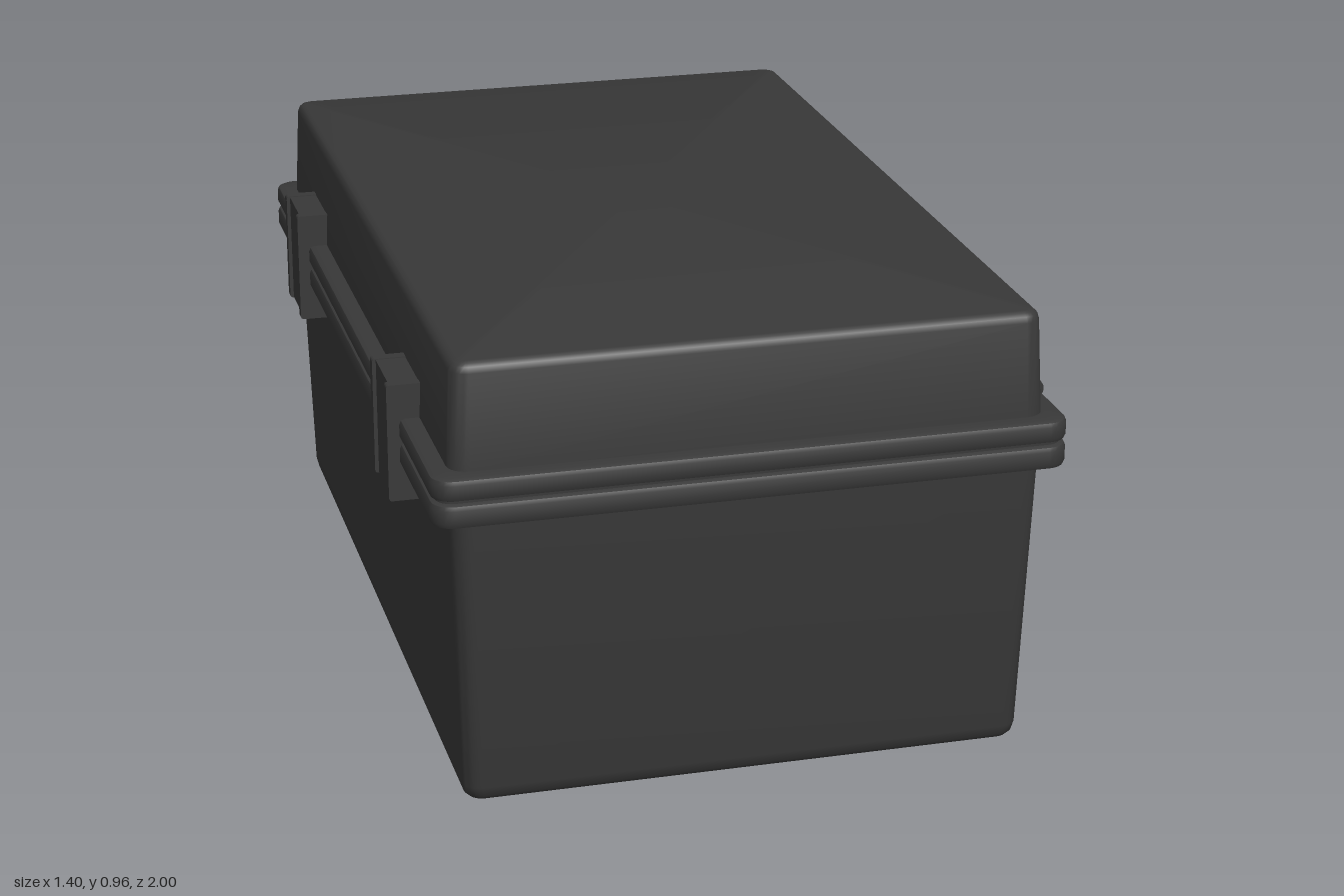
import * as THREE from 'three';
import { toCreasedNormals } from 'three/addons/utils/BufferGeometryUtils.js';

const material = new THREE.MeshStandardMaterial({ color: 0x383838 });
const CX = -0.018; // centre of the case, offset by the hinges
const CORNER_STEPS = 6;

function add(parent, name, geometry, x = 0, y = 0, z = 0) {
  const mesh = new THREE.Mesh(geometry, material);
  mesh.name = name;
  mesh.position.set(x, y, z);
  parent.add(mesh);
  return mesh;
}

function box(parent, name, x0, x1, y0, y1, z0, z1) {
  return add(parent, name, new THREE.BoxGeometry(x1 - x0, y1 - y0, z1 - z0),
    (x0 + x1) / 2, (y0 + y1) / 2, (z0 + z1) / 2);
}

// Closed loft through rounded rectangles; each section is [y, half x, half z, corner radius]
function loft(sections) {
  const positions = [], index = [];
  const n = 4 * (CORNER_STEPS + 1);
  for (const [y, hx, hz, r] of sections) {
    for (let corner = 0; corner < 4; corner++) {
      const sx = corner === 0 || corner === 3 ? 1 : -1;
      const sz = corner < 2 ? 1 : -1;
      for (let i = 0; i <= CORNER_STEPS; i++) {
        const a = (corner + i / CORNER_STEPS) * Math.PI / 2;
        positions.push(sx * (hx - r) + r * Math.cos(a), y, sz * (hz - r) + r * Math.sin(a));
      }
    }
  }
  for (let s = 0; s < sections.length - 1; s++) {
    for (let i = 0; i < n; i++) {
      const a = s * n + i, b = s * n + (i + 1) % n;
      index.push(a, a + n, b, b, a + n, b + n);
    }
  }
  // End caps
  const low = sections.length * n, high = low + 1, last = (sections.length - 1) * n;
  positions.push(0, sections[0][0], 0, 0, sections.at(-1)[0], 0);
  for (let i = 0; i < n; i++) {
    const j = (i + 1) % n;
    index.push(low, i, j, high, last + j, last + i);
  }
  const geometry = new THREE.BufferGeometry();
  geometry.setAttribute('position', new THREE.Float32BufferAttribute(positions, 3));
  geometry.setIndex(index);
  return toCreasedNormals(geometry, 0.65);
}

// Rim sections with softened edges between two heights
function rim(y0, y1) {
  const b = 0.012;
  return [[y0, 0], [y0, b], [y0 + b * 0.3, b * 0.3], [y0 + b, 0], [y1 - b, 0], [y1 - b * 0.3, b * 0.3], [y1, b]]
    .slice(1).map(([y, inset]) => [y, 0.657 - inset, 1 - inset, 0.045 - inset]);
}

// Triangular hinge rib with a rounded nose; flip points it the other way up
function ribGeometry(flip) {
  const shape = new THREE.Shape();
  shape.moveTo(0.585, -0.02);
  shape.lineTo(0.585, 0.094);
  shape.lineTo(0.603, 0.092);
  shape.lineTo(0.615, 0.084);
  shape.lineTo(0.689, 0.018);
  shape.quadraticCurveTo(0.703, 0, 0.689, -0.016);
  shape.lineTo(0.675, -0.02);
  const geometry = new THREE.ExtrudeGeometry(shape, { depth: 0.013, bevelEnabled: false, curveSegments: 6 });
  geometry.translate(0, 0, -0.0065);
  if (flip) geometry.rotateX(Math.PI);
  return geometry;
}

function createHinge(z) {
  const hinge = new THREE.Group();
  hinge.name = 'hinge';
  const pinY = 0.688;
  // Three knuckles, the middle one slightly thicker
  for (const k of [-1, 0, 1]) {
    const r = k === 0 ? 0.026 : 0.023;
    const knuckle = new THREE.CylinderGeometry(r, r, 0.085, 20).rotateX(Math.PI / 2);
    add(hinge, 'hingeKnuckle', knuckle, 0.672, pinY, k * 0.088);
    const y0 = k === 0 ? pinY - 0.022 : pinY;
    box(hinge, 'hingeLeaf', 0.62, 0.672, y0, y0 + 0.022, k * 0.088 - 0.042, k * 0.088 + 0.042);
    // Lid ribs rise at the ends, base ribs drop in the middle
    for (const i of [-1, 0, 1]) {
      add(hinge, k === 0 ? 'baseHingeRib' : 'lidHingeRib', ribGeometry(k === 0), 0, pinY, k * 0.088 + i * 0.026);
    }
  }
  const pin = new THREE.CylinderGeometry(0.01, 0.01, 0.262, 12).rotateX(Math.PI / 2);
  add(hinge, 'hingePin', pin, 0.672, pinY, 0);
  hinge.position.z = z;
  return hinge;
}

function createLatch(z) {
  const latch = new THREE.Group();
  latch.name = 'latch';
  // Side cheek with softened outer corners
  const cheek = new THREE.Shape();
  cheek.moveTo(-0.615, 0.56);
  cheek.lineTo(-0.615, 0.812);
  cheek.lineTo(-0.692, 0.812);
  cheek.quadraticCurveTo(-0.7, 0.812, -0.7, 0.804);
  cheek.lineTo(-0.7, 0.568);
  cheek.quadraticCurveTo(-0.7, 0.56, -0.692, 0.56);
  const cheekGeometry = new THREE.ExtrudeGeometry(cheek, { depth: 0.024, bevelEnabled: false, curveSegments: 4 });
  add(latch, 'latchCheek', cheekGeometry, 0, 0, -0.091);
  add(latch, 'latchCheek', cheekGeometry, 0, 0, 0.067);
  box(latch, 'latchPlate', -0.692, -0.615, 0.562, 0.81, -0.068, 0.068);
  latch.position.z = z;
  return latch;
}

export function createModel() {
  const model = new THREE.Group();
  model.name = 'storageCase';

  // Tapered tub with a rounded bottom edge and a rim
  add(model, 'base', loft([
    [0, 0.568, 0.913, 0.02], [0.004, 0.58, 0.925, 0.03], [0.014, 0.589, 0.934, 0.035], [0.035, 0.594, 0.939, 0.037],
    [0.633, 0.612, 0.96, 0.04], ...rim(0.633, 0.685),
  ]), CX);

  // Narrow seam between the two rims
  add(model, 'seal', loft([[0.68, 0.645, 0.988, 0.035], [0.695, 0.645, 0.988, 0.035]]), CX);

  // Domed lid with a rim and softened top edge
  add(model, 'lid', loft([
    ...rim(0.69, 0.738), [0.738, 0.615, 0.96, 0.04],
    [0.935, 0.606, 0.947, 0.035], [0.947, 0.602, 0.943, 0.032], [0.953, 0.596, 0.937, 0.028], [0.956, 0.587, 0.928, 0.02],
  ]), CX);

  for (const z of [-0.5635, 0.5635]) model.add(createHinge(z));
  for (const z of [-0.568, 0.562]) model.add(createLatch(z));
  return model;
}
